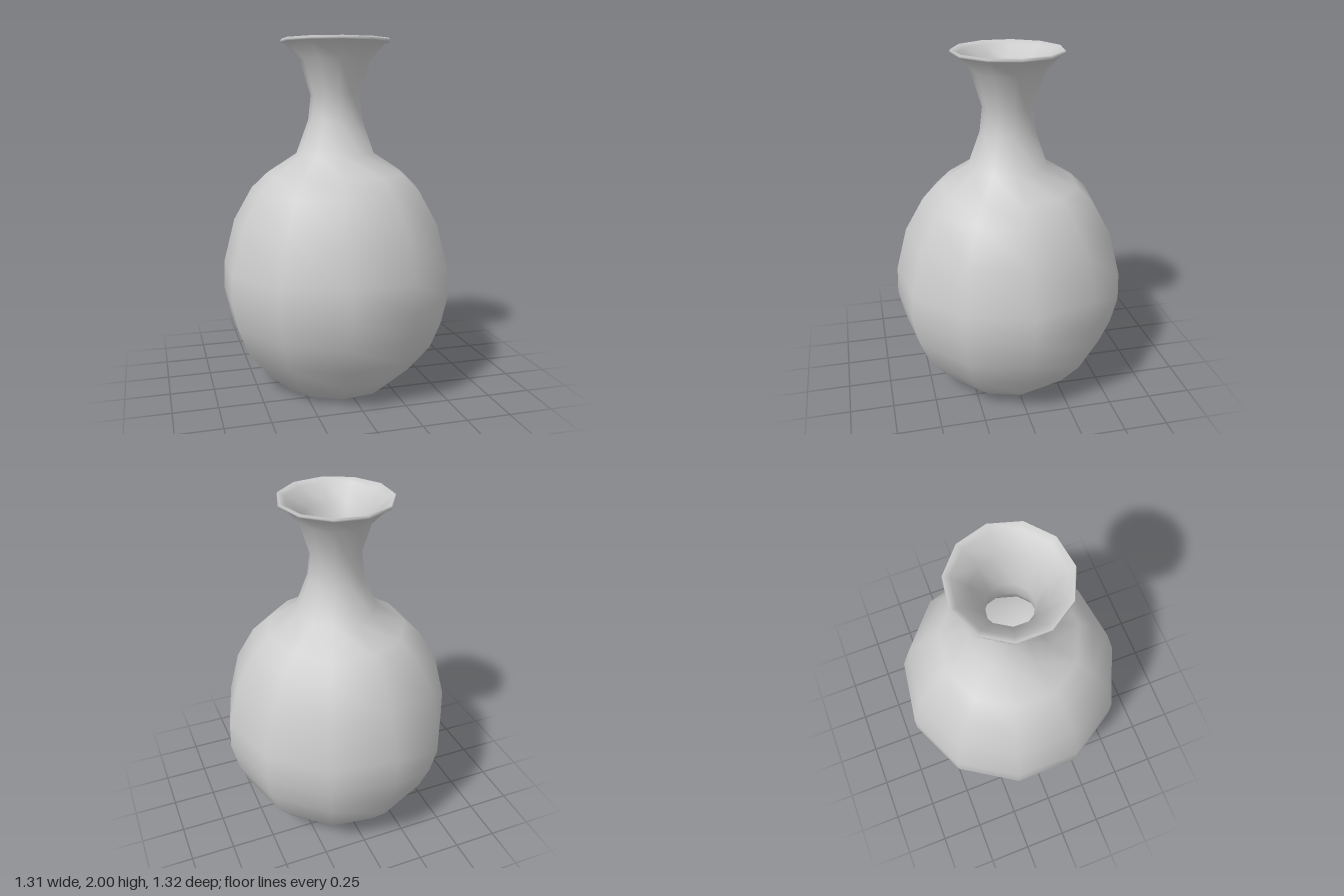
import * as THREE from 'three';

const SIDES = 11;
const WALL = 0.017;

export function createModel() {
  const group = new THREE.Group();
  group.name = 'vase';

  // Outer wall from the foot up to the underside of the lip: [radius, height]
  const wall = [
    [0.333, 0], [0.447, 0.1], [0.57, 0.25], [0.63, 0.4], [0.666, 0.56],
    [0.661, 0.72], [0.597, 0.97], [0.49, 1.16], [0.395, 1.25], [0.227, 1.36],
    [0.158, 1.55], [0.143, 1.69], [0.204, 1.885], [0.29, 1.978],
  ];
  // Thin turned-out lip
  const lip = [[0.309, 1.98], [0.312, 1.99], [0.307, 2]];
  // Hollow inside follows the outer wall back down to the floor
  const inside = wall.slice(1).reverse().map(([r, y]) => [r - WALL, y + 0.005]);

  const profile = [[0, 0], ...wall, ...lip, ...inside, [0.32, WALL], [0, WALL]]
    .map(([r, y]) => new THREE.Vector2(r, y));

  // One corner of the eleven-sided body points to +x
  const geometry = new THREE.LatheGeometry(profile, SIDES, Math.PI / 2);
  const body = new THREE.Mesh(geometry, new THREE.MeshStandardMaterial({ color: 0xcccccc }));
  body.name = 'vaseBody';
  body.position.x = -0.015;
  group.add(body);

  return group;
}
